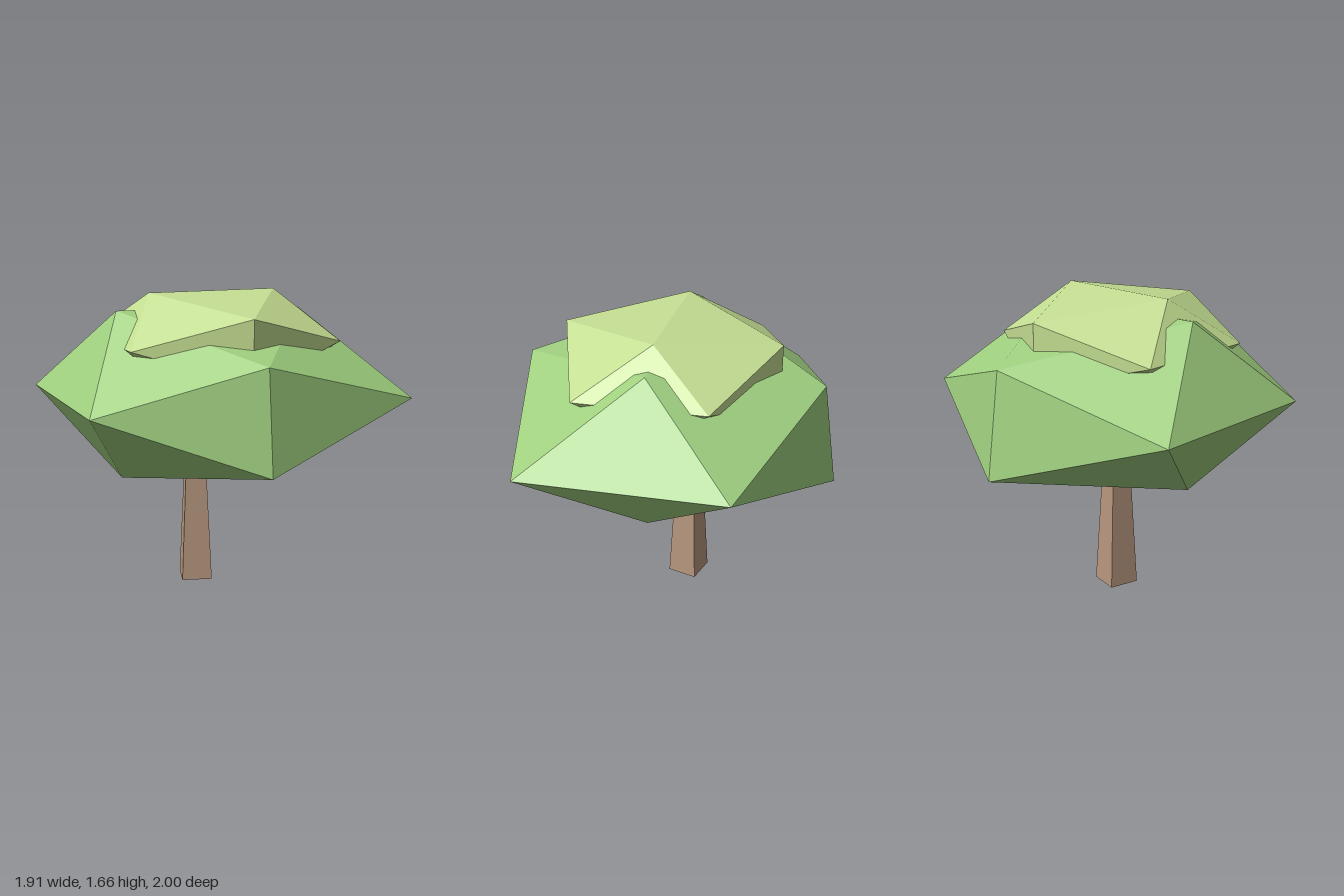
import * as THREE from 'three';
import { ConvexGeometry } from 'three/addons/geometries/ConvexGeometry.js';

const material = (color) => new THREE.MeshStandardMaterial({ color, flatShading: true });

// A faceted clump of leaves: the hull of twelve corner points
function leafClump(name, color, points) {
  const geometry = new ConvexGeometry(points.map((p) => new THREE.Vector3(...p)));
  const mesh = new THREE.Mesh(geometry, material(color));
  mesh.name = name;
  return mesh;
}

export function createModel() {
  const tree = new THREE.Group();
  tree.name = 'tree';

  // Tapered four-sided trunk, its top hidden in the leaves
  const trunk = new THREE.Mesh(new THREE.CylinderGeometry(0.063, 0.12, 0.95, 4), material(0xb6967d));
  trunk.name = 'trunk';
  trunk.position.set(-0.14, 0.475, 0.04);
  tree.add(trunk);

  // Wide lower clump: waist, upper and lower corners
  tree.add(leafClump('lowerFoliage', 0x9fcf7f, [
    [-0.96, 1.1, 0.48], [0.95, 1.1, -0.48], [-0.03, 1.1, 1], [-0.03, 1.1, -1],
    [0.66, 1.36, 0.45], [-0.32, 1.57, 0.48], [-0.74, 1.37, -0.43], [0.24, 1.55, -0.42],
    [0.71, 0.81, 0.48], [-0.31, 0.65, 0.47], [-0.81, 0.8, -0.47], [0.23, 0.675, -0.41],
  ]));

  // Smaller cap clump sunk into the lower one
  tree.add(leafClump('upperFoliage', 0xc4de92, [
    [-0.66, 1.4, 0.33], [0.6, 1.4, -0.3], [-0.03, 1.4, 0.69], [-0.03, 1.4, -0.63],
    [0.48, 1.57, 0.33], [-0.22, 1.66, 0.33], [-0.54, 1.57, -0.3], [0.16, 1.66, -0.29],
    [0.48, 1.23, 0.33], [-0.22, 1.14, 0.33], [-0.54, 1.23, -0.3], [0.16, 1.14, -0.3],
  ]));

  return tree;
}
